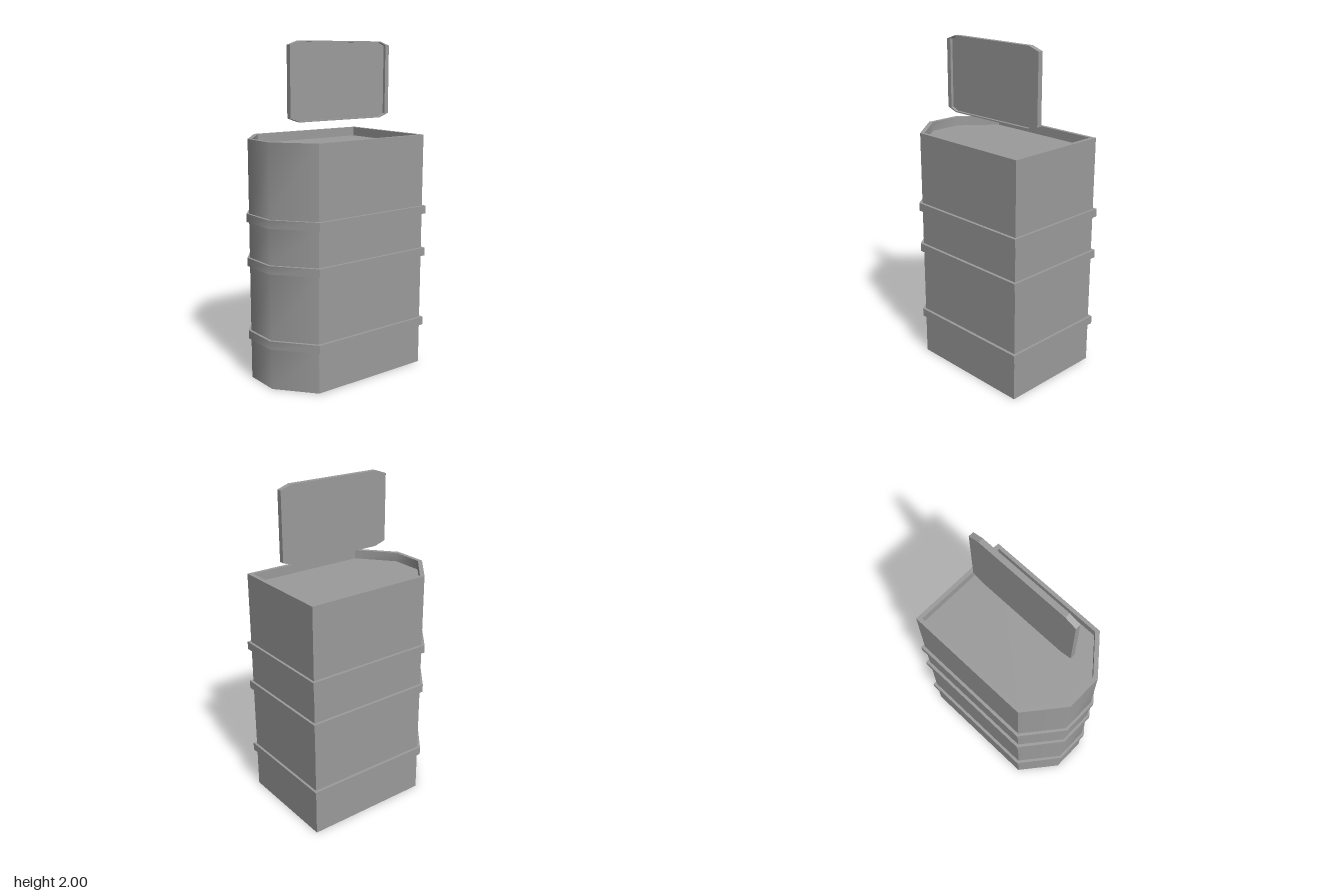
import * as THREE from 'three';
import { toCreasedNormals } from 'three/addons/utils/BufferGeometryUtils.js';

// six-sided outline of the bin: tapered at -x, square at +x (returned as [x, z])
const footprint = (endX, endZ, shoulderX, sideZ) => [
  [endX, sideZ], [endX, -sideZ], [-shoulderX, -sideZ],
  [-endX, -endZ], [-endX, endZ], [-shoulderX, sideZ],
];
const WALL = footprint(0.485, 0.11, 0.305, 0.328);
const BAND = footprint(0.5, 0.115, 0.313, 0.346);
const INNER = footprint(0.46, 0.1, 0.29, 0.305);

// joins successive closed rings of 3D points with quads and closes the last ring
function loft(rings, creaseAngle) {
  const n = rings[0].length;
  const index = [];
  for (let r = 0; r < rings.length - 1; r++) {
    for (let i = 0; i < n; i++) {
      const j = (i + 1) % n;
      const a = r * n + i, b = r * n + j, c = a + n, d = b + n;
      index.push(a, b, d, a, d, c);
    }
  }
  const last = (rings.length - 1) * n;
  for (let i = 1; i < n - 1; i++) index.push(last, last + i, last + i + 1);
  const geometry = new THREE.BufferGeometry();
  geometry.setAttribute('position', new THREE.Float32BufferAttribute(rings.flat(2), 3));
  geometry.setIndex(index);
  return toCreasedNormals(geometry, creaseAngle);
}

export function createModel() {
  const group = new THREE.Group();
  const material = new THREE.MeshStandardMaterial({ color: 0x9b9b9b, side: THREE.DoubleSide });
  const add = (name, geometry) => {
    const mesh = new THREE.Mesh(geometry, material);
    mesh.name = name;
    group.add(mesh);
  };

  // bin: one thin shell, open below, with three bands stepped outwards
  const level = (outline, y) => outline.map(([x, z]) => [x, y, z]);
  const rings = [level(WALL, 0)];
  for (const [low, high] of [[0.25, 0.3], [0.7, 0.75], [0.966, 1.015]]) {
    rings.push(level(WALL, low), level(BAND, low), level(BAND, high), level(WALL, high));
  }
  // rim and shallow sunken top
  rings.push(level(WALL, 1.45), level(INNER, 1.45), level(INNER, 1.395));
  add('bin', loft(rings, Math.PI / 4));

  // sign panel: clipped corners, with a raised lip round the front face
  const cx = 0.043, cy = 1.7725, cornerX = 0.296, cornerY = 0.2035;
  const panel = (w, h, z) => [
    [-w, -cornerY], [-cornerX, -h], [cornerX, -h], [w, -cornerY],
    [w, cornerY], [cornerX, h], [-cornerX, h], [-w, cornerY],
  ].map(([x, y]) => [cx + x, cy + y, z]);
  const back = 0.057, front = 0.089, recess = 0.072;
  const backOutline = panel(0.366, 0.2275, back);
  add('signPanel', loft([
    backOutline, panel(0.366, 0.2275, front),
    panel(0.338, 0.2205, front), panel(0.338, 0.2205, recess),
  ], 0.1));
  add('signBack', loft([backOutline.reverse()], 0.1));

  return group;
}
